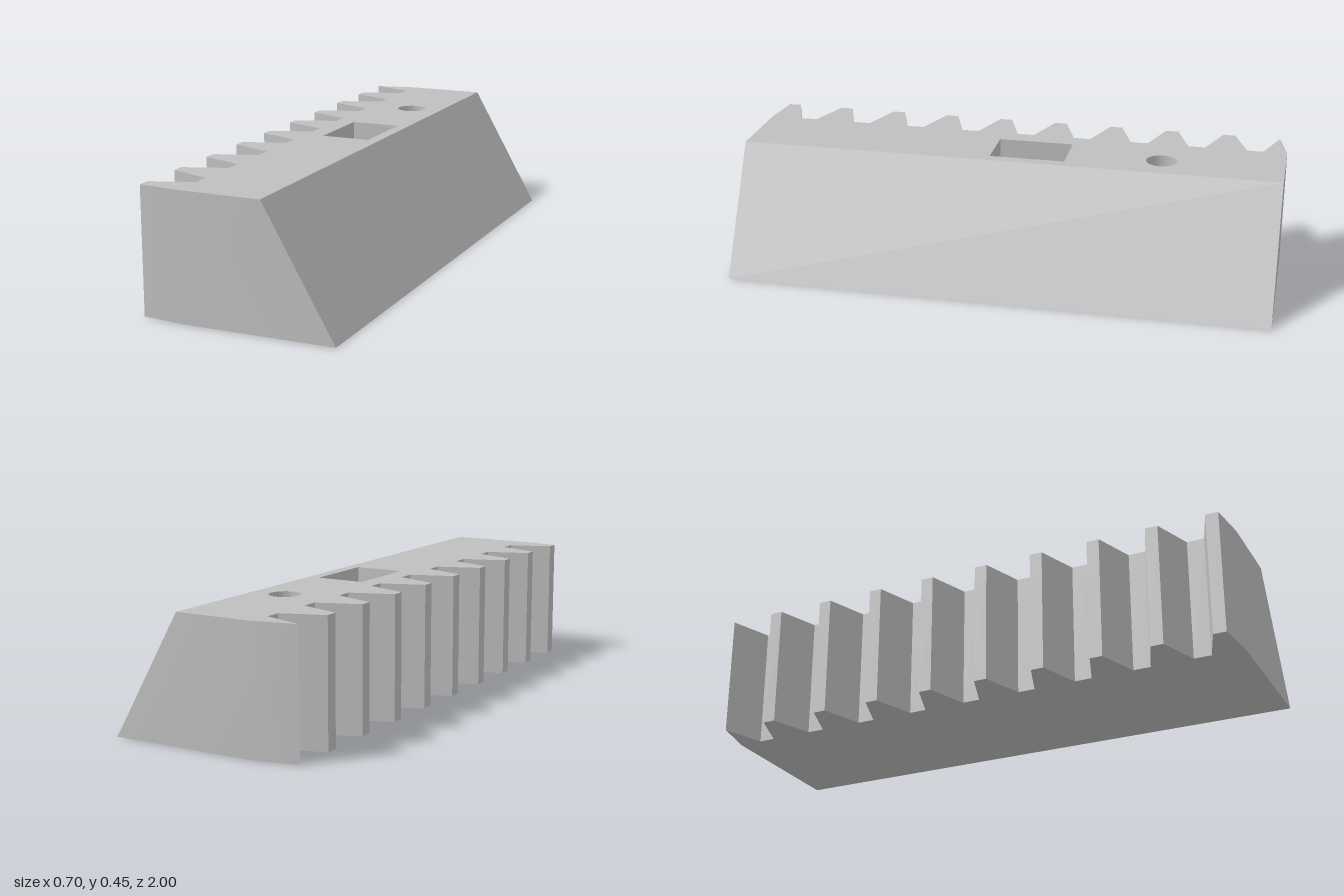
import * as THREE from 'three';
import { mergeGeometries, toCreasedNormals } from 'three/addons/utils/BufferGeometryUtils.js';

const HEIGHT = 0.45, POCKET_FLOOR = 0.2;
const ROOT = -0.2, TIP = -0.352;          // x of tooth roots and tips
const V = (x, z) => new THREE.Vector2(x, -z);

// Plan outline of the rack, anticlockwise from above; the right edge lies at xRight
function outline(xRight) {
  const pts = [V(xRight, 1), V(xRight, -1)];
  pts.push(V(ROOT, -1), V(TIP, -0.967), V(ROOT, -0.913));        // cut-off first tooth
  for (let i = 0; i < 8; i++) {
    const c = -0.776 + i * 0.217;
    pts.push(V(ROOT, c - 0.077), V(TIP, c - 0.023), V(TIP, c + 0.023), V(ROOT, c + 0.077));
  }
  pts.push(V(ROOT, 0.883), V(TIP, 0.937), V(TIP, 0.983), V(ROOT, 1)); // cut-off last tooth
  return pts;
}

// Horizontal face at height y, facing up or down
function cap(pts, y, holes = [], down = false) {
  const shape = new THREE.Shape(pts);
  shape.holes = holes.map((h) => new THREE.Path(h));
  const g = new THREE.ShapeGeometry(shape);
  if (down) g.setIndex(Array.from(g.index.array).reverse());
  g.rotateX(-Math.PI / 2).translate(0, y, 0);
  g.deleteAttribute('uv');
  g.deleteAttribute('normal');
  return g.toNonIndexed();
}

// Band of quads between two matching loops
function walls(low, yLow, high, yHigh) {
  const pos = [];
  low.forEach((a, i) => {
    const j = (i + 1) % low.length;
    const al = [a.x, yLow, -a.y], bl = [low[j].x, yLow, -low[j].y];
    const ah = [high[i].x, yHigh, -high[i].y], bh = [high[j].x, yHigh, -high[j].y];
    pos.push(...al, ...bl, ...bh, ...al, ...bh, ...ah);
  });
  return new THREE.BufferGeometry().setAttribute('position', new THREE.Float32BufferAttribute(pos, 3));
}

export function createModel() {
  const group = new THREE.Group();
  group.name = 'toothedRack';
  const grey = new THREE.MeshStandardMaterial({ color: 0xbfbfbf });
  grey.name = 'light grey';

  const top = outline(0.094), bottom = outline(0.352);

  // Blind openings in the top, wound clockwise so their walls face inward
  const square = [V(-0.13, -0.21), V(0.052, -0.21), V(0.052, 0.068), V(-0.13, 0.068)];
  const round = [];
  for (let i = 0; i < 32; i++) {
    const a = (i / 32) * Math.PI * 2;
    round.push(V(-0.028 + 0.056 * Math.cos(a), -0.555 + 0.056 * Math.sin(a)));
  }
  const pockets = [square, round];

  const parts = [
    cap(top, HEIGHT, pockets),
    cap(bottom, 0, [], true),
    walls(bottom, 0, top, HEIGHT),
  ];
  for (const p of pockets) {
    parts.push(walls(p, POCKET_FLOOR, p, HEIGHT), cap(p, POCKET_FLOOR));
  }

  const body = new THREE.Mesh(toCreasedNormals(mergeGeometries(parts), 0.45), grey);
  body.name = 'rackBody';
  group.add(body);
  return group;
}
